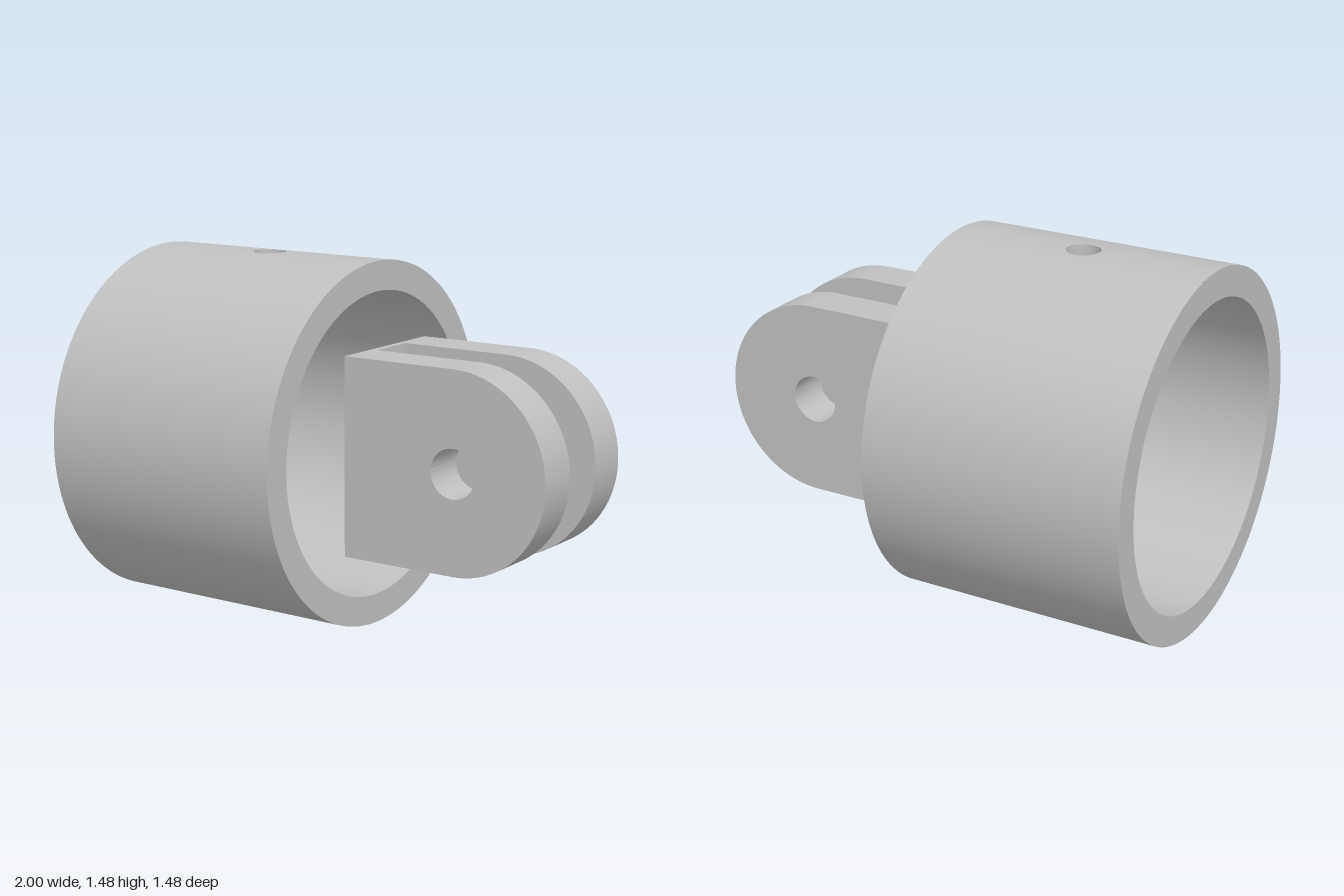
import * as THREE from 'three';
import { toCreasedNormals } from 'three/addons/utils/BufferGeometryUtils.js';

const CY = 0.74, R_OUT = 0.74, R_IN = 0.62;      // sleeve axis height and radii
const X0 = -1, X1 = 0.075, XM = (X0 + X1) / 2, HX = (X1 - X0) / 2;
const HOLE = 0.067;                              // set-screw hole radius
const PHI = 0.3;                                 // half angle of the panel around the hole

// Smooth surface from point(u, v) and normal(point); the winding follows the normal.
function surface(nu, nv, point, normal) {
  const pts = [], nrm = [], index = [];
  for (let j = 0; j <= nv; j++) for (let i = 0; i <= nu; i++) {
    const p = point(i / nu, j / nv);
    pts.push(p);
    nrm.push(normal(p).normalize());
  }
  const a = new THREE.Vector3(), b = new THREE.Vector3();
  const tri = (p, q, r) => {
    a.subVectors(pts[q], pts[p]).cross(b.subVectors(pts[r], pts[p]));
    if (a.dot(nrm[p]) < 0) index.push(p, r, q);
    else index.push(p, q, r);
  };
  for (let j = 0; j < nv; j++) for (let i = 0; i < nu; i++) {
    const k = j * (nu + 1) + i, m = k + nu + 1;
    tri(k, k + 1, m);
    tri(k + 1, m + 1, m);
  }
  const g = new THREE.BufferGeometry().setFromPoints(pts);
  g.setAttribute('normal', new THREE.BufferAttribute(new Float32Array(nrm.flatMap(n => n.toArray())), 3));
  g.setIndex(index);
  return g;
}

export function createModel() {
  const grey = new THREE.MeshStandardMaterial({ color: 0xc0c0c0, side: THREE.DoubleSide });
  grey.name = 'light grey';
  const model = new THREE.Group();
  model.name = 'clevisAndSleeve';
  const add = (parent, name, geometry) => {
    const mesh = new THREE.Mesh(geometry, grey);
    mesh.name = name;
    parent.add(mesh);
    return mesh;
  };

  // Sleeve: a tube along x, with its axis at the group's origin height
  const sleeve = new THREE.Group();
  sleeve.name = 'sleeve';
  sleeve.position.y = CY;
  model.add(sleeve);

  for (const [label, r, sign] of [['outer', R_OUT, 1], ['inner', R_IN, -1]]) {
    const radial = p => new THREE.Vector3(0, p.y * sign, p.z * sign);
    // Plain wall all round except the panel at the top
    add(sleeve, label + 'Wall', surface(120, 1, (u, v) => {
      const t = PHI + u * (2 * Math.PI - 2 * PHI);
      return new THREE.Vector3(X0 + v * (X1 - X0), r * Math.cos(t), r * Math.sin(t));
    }, radial));
    // Top panel, spreading from the round hole to a rectangle
    const hz = r * Math.sin(PHI);
    add(sleeve, label + 'HolePanel', surface(64, 12, (u, v) => {
      const c = Math.cos(u * 2 * Math.PI), s = Math.sin(u * 2 * Math.PI);
      const m = Math.max(Math.abs(c), Math.abs(s));
      const x = THREE.MathUtils.lerp(HOLE * c, HX * c / m, v);
      const z = THREE.MathUtils.lerp(HOLE * s, hz * s / m, v);
      return new THREE.Vector3(XM + x, Math.sqrt(r * r - z * z), z);
    }, radial));
  }

  // Straight wall of the drilled hole
  add(sleeve, 'screwHoleWall', surface(64, 1, (u, v) => {
    const x = HOLE * Math.cos(u * 2 * Math.PI), z = HOLE * Math.sin(u * 2 * Math.PI);
    const r = v ? R_OUT : R_IN;
    return new THREE.Vector3(XM + x, Math.sqrt(r * r - z * z), z);
  }, p => new THREE.Vector3(XM - p.x, 0, -p.z)));

  // Flat end faces
  for (const [x, sign] of [[X0, -1], [X1, 1]]) {
    const ring = add(sleeve, 'endFace', new THREE.RingGeometry(R_IN, R_OUT, 128));
    ring.position.x = x;
    ring.rotation.y = sign * Math.PI / 2;
  }

  // Clevis: two rounded ears with a pin hole, joined by a thin web
  const clevis = new THREE.Group();
  clevis.name = 'clevis';
  clevis.position.y = 0.743;
  model.add(clevis);

  const back = 0.105, pinX = 0.6, earR = 0.4, gap = 0.1, half = 0.283;
  const outline = new THREE.Shape();
  outline.moveTo(back, -earR);
  outline.lineTo(pinX, -earR);
  outline.absarc(pinX, 0, earR, -Math.PI / 2, Math.PI / 2, false);
  outline.lineTo(back, earR);
  outline.closePath();
  const pinHole = new THREE.Path();
  pinHole.absarc(pinX, 0, 0.098, 0, Math.PI * 2, true);
  outline.holes.push(pinHole);
  const earGeometry = toCreasedNormals(new THREE.ExtrudeGeometry(outline, {
    depth: half - gap, bevelEnabled: false, curveSegments: 48,
  }), 0.5);
  add(clevis, 'leftEar', earGeometry).position.z = gap;
  add(clevis, 'rightEar', earGeometry).position.z = -half;
  add(clevis, 'web', new THREE.BoxGeometry(0.03, earR * 2, gap * 2)).position.x = back + 0.015;

  return model;
}
